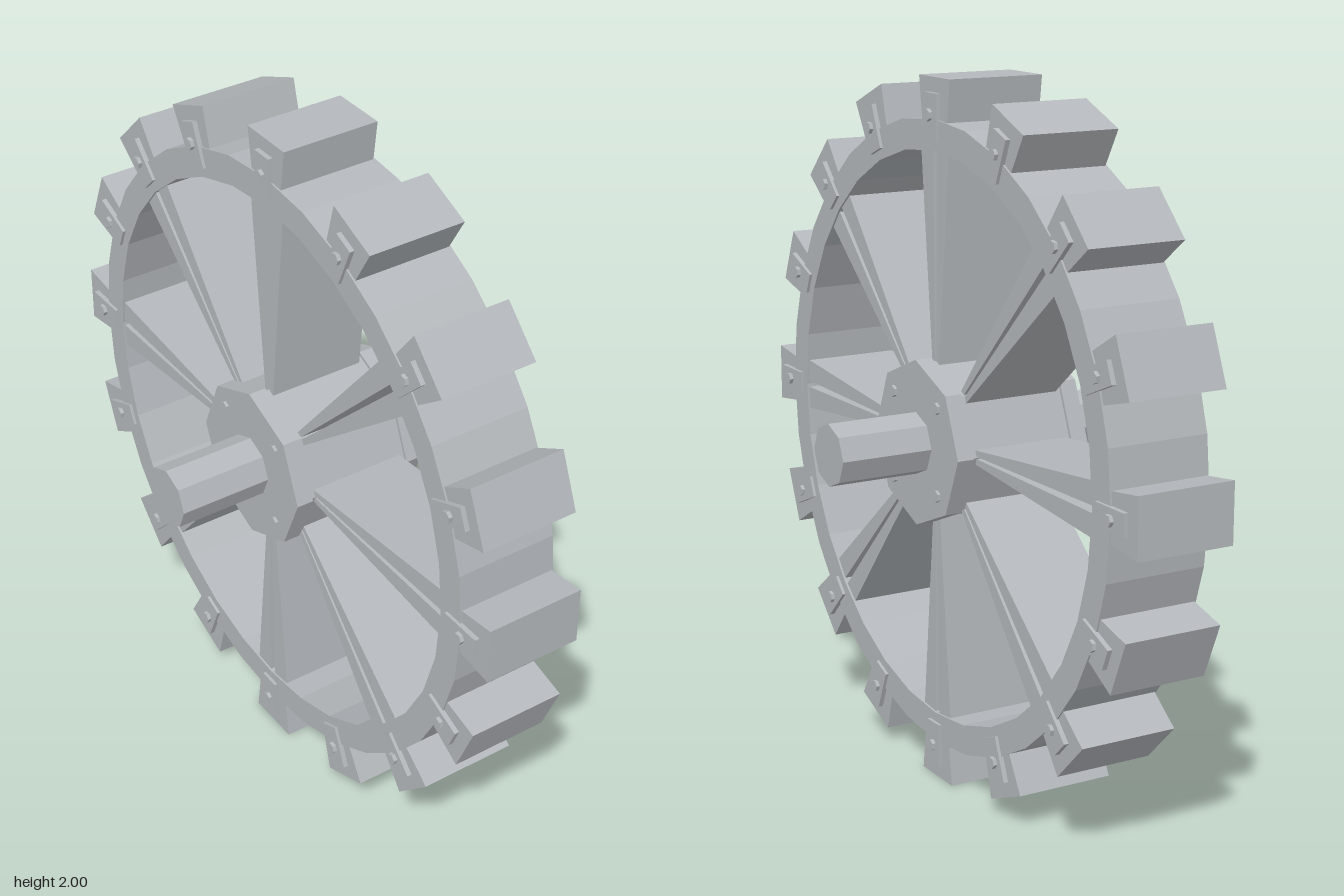
import * as THREE from 'three';

// Everything is built around the z axis, then turned so the axle lies along x.
export function createModel() {
  const steel = new THREE.MeshStandardMaterial({ color: 0xb4b8bc });
  steel.name = 'steel grey';
  steel.flatShading = true;

  const model = new THREE.Group();
  model.name = 'toothedWheel';
  const wheel = new THREE.Group();
  wheel.name = 'wheel';
  wheel.position.y = 1;
  wheel.rotation.y = Math.PI / 2;
  model.add(wheel);

  const add = (parent, name, geometry, x = 0, y = 0, z = 0) => {
    const mesh = new THREE.Mesh(geometry, steel);
    mesh.name = name;
    mesh.position.set(x, y, z);
    parent.add(mesh);
    return mesh;
  };
  // Regular prism along z with a corner pointing up
  const prism = (radius, depth, sides) =>
    new THREE.CylinderGeometry(radius, radius, depth, sides).rotateX(Math.PI / 2);
  // Outline extruded equally to both sides of z = 0
  const slab = (shape, depth) =>
    new THREE.ExtrudeGeometry(shape, { depth, bevelEnabled: false }).translate(0, 0, -depth / 2);
  const outline = (pts) => new THREE.Shape(pts.map(([x, y]) => new THREE.Vector2(x, y)));
  const ngon = (r, n) => Array.from({ length: n }, (_, i) => {
    const a = (i / n) * Math.PI * 2;
    return new THREE.Vector2(Math.cos(a) * r, Math.sin(a) * r);
  });

  // Rim
  const ring = new THREE.Shape(ngon(0.89, 32));
  ring.holes.push(new THREE.Path(ngon(0.805, 32)));
  add(wheel, 'rim', slab(ring, 0.296));

  // Teeth with a bolted plate on each side
  const toothGeo = slab(outline([[-0.064, 0.85], [0.064, 0.85], [0.084, 1], [-0.084, 1]]), 0.286);
  const plateGeo = new THREE.BoxGeometry(0.064, 0.128, 0.018);
  const boltGeo = prism(0.017, 0.02, 6);
  for (let i = 0; i < 16; i++) {
    const tooth = new THREE.Group();
    tooth.name = 'toothUnit';
    tooth.rotation.z = (i / 16) * Math.PI * 2;
    wheel.add(tooth);
    add(tooth, 'tooth', toothGeo);
    for (const s of [-1, 1]) {
      add(tooth, 'toothPlate', plateGeo, 0, 0.895, s * 0.148);
      add(tooth, 'toothBolt', boltGeo, 0, 0.9, s * 0.158);
    }
  }

  // Eight spokes, each a pair of wedges with a narrow slit between them
  const wedges = [-1, 1].map((s) => slab(outline([
    [s * 0.003, 0.2], [s * 0.018, 0.2], [s * 0.077, 0.82], [s * 0.01, 0.82],
  ]), 0.284));
  for (let i = 0; i < 8; i++) {
    const spoke = new THREE.Group();
    spoke.name = 'spoke';
    spoke.rotation.z = (i / 8) * Math.PI * 2;
    wheel.add(spoke);
    wedges.forEach((geo) => add(spoke, 'spokeWedge', geo));
  }

  // Hub, flanges with four bolts each, and axle
  add(wheel, 'hubCore', prism(0.225, 0.32, 8));
  add(wheel, 'axle', prism(0.088, 0.95, 8));
  for (const s of [-1, 1]) {
    add(wheel, 'hubFlange', prism(0.235, 0.05, 8), 0, 0, s * 0.181);
    for (const x of [-0.123, 0.123]) {
      for (const y of [-0.123, 0.123]) add(wheel, 'hubBolt', boltGeo, x, y, s * 0.205);
    }
  }
  return model;
}
